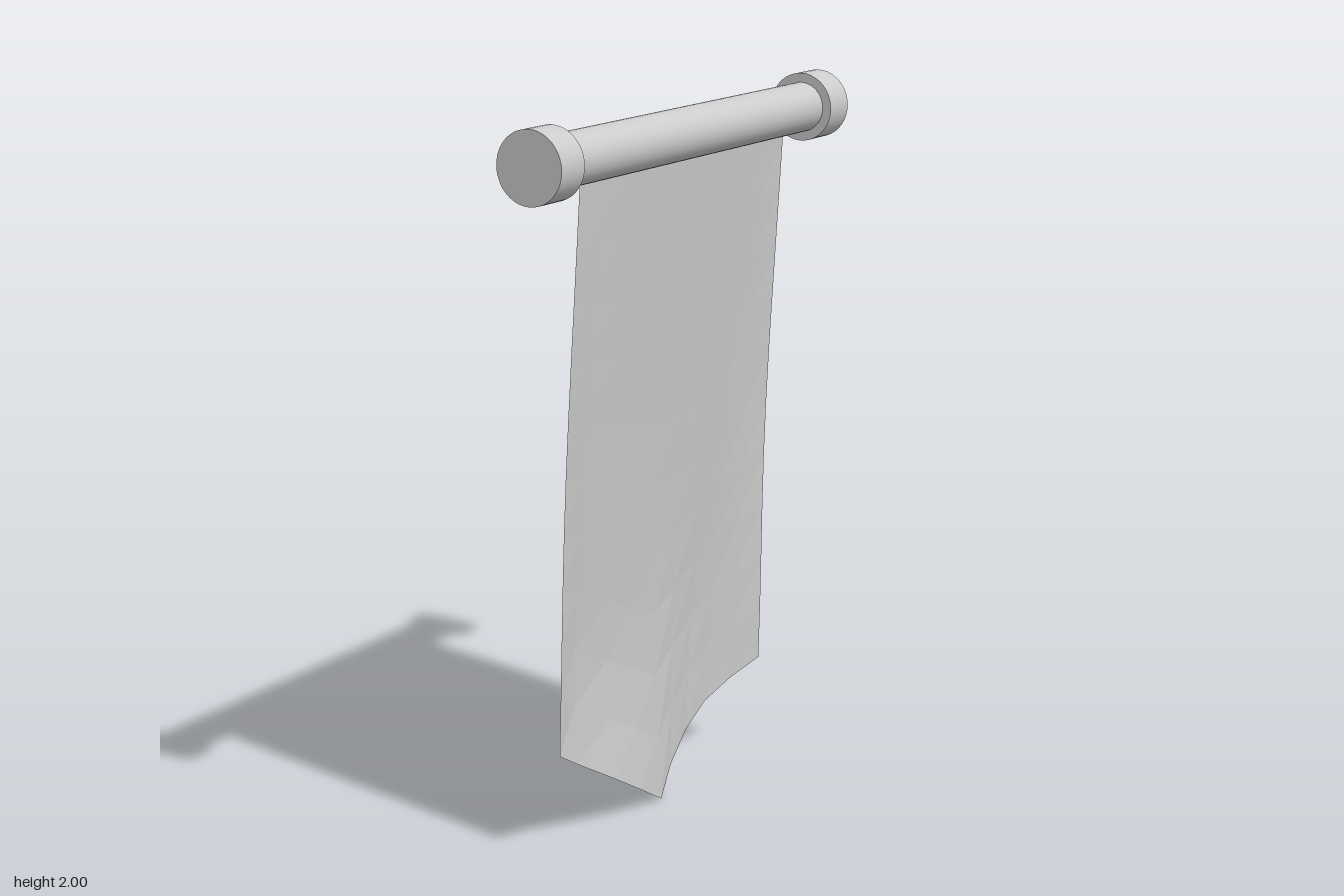
import * as THREE from 'three';

export function createModel() {
  const group = new THREE.Group();
  const grey = new THREE.MeshStandardMaterial({ color: 0xcccccc });
  const poleX = 0.02, poleY = 1.904;

  // Horizontal pole with a collar on each end
  const addRod = (name, radius, length, z) => {
    const geometry = new THREE.CylinderGeometry(radius, radius, length, 40);
    geometry.rotateX(Math.PI / 2);
    const mesh = new THREE.Mesh(geometry, grey);
    mesh.name = name;
    mesh.position.set(poleX, poleY, z);
    group.add(mesh);
  };
  addRod('pole', 0.07, 1.3, 0);
  addRod('frontEndCap', 0.096, 0.103, 0.6905);
  addRod('backEndCap', 0.096, 0.103, -0.6905);

  // Cloth columns: z, then sideways drift at y = 1, at y = 0.45 and at the hem
  const folds = [
    [0.515, -0.035, -0.055, -0.06],
    [0.42, -0.045, -0.075, -0.066],
    [0.25, -0.05, -0.08, -0.052],
    [0.12, -0.055, -0.082, -0.053],
    [-0.01, -0.058, -0.085, -0.065],
    [-0.12, -0.06, -0.095, -0.1],
    [-0.24, -0.06, -0.108, -0.12],
    [-0.34, -0.057, -0.103, -0.116],
    [-0.43, -0.045, -0.075, -0.083],
    [-0.535, -0.027, -0.034, -0.036],
  ];
  const rows = 10;
  const clothGeometry = new THREE.PlaneGeometry(1, 1, folds.length - 1, rows);
  const position = clothGeometry.attributes.position;
  folds.forEach(([z, xMid, xLow, xHem], column) => {
    // Pointed hem, with the back edge drawn in slightly at the bottom
    const hemZ = z < -0.5 ? -0.515 : z;
    const hemY = (0.29 * Math.abs(hemZ + 0.01)) / 0.515;
    const curve = new THREE.CatmullRomCurve3([
      new THREE.Vector3(poleX, 1.84, z),
      new THREE.Vector3(xMid, 1, z + (hemZ - z) * 0.3),
      new THREE.Vector3(xLow, 0.45, z + (hemZ - z) * 0.75),
      new THREE.Vector3(xHem, hemY, hemZ),
    ]);
    for (let row = 0; row <= rows; row++) {
      const p = curve.getPointAt(row / rows);
      position.setXYZ(row * folds.length + column, p.x, p.y, p.z);
    }
  });
  clothGeometry.computeVertexNormals();
  const clothMaterial = new THREE.MeshStandardMaterial({
    color: 0xcccccc, flatShading: true, side: THREE.DoubleSide,
  });
  const cloth = new THREE.Mesh(clothGeometry, clothMaterial);
  cloth.name = 'bannerCloth';
  group.add(cloth);

  return group;
}
